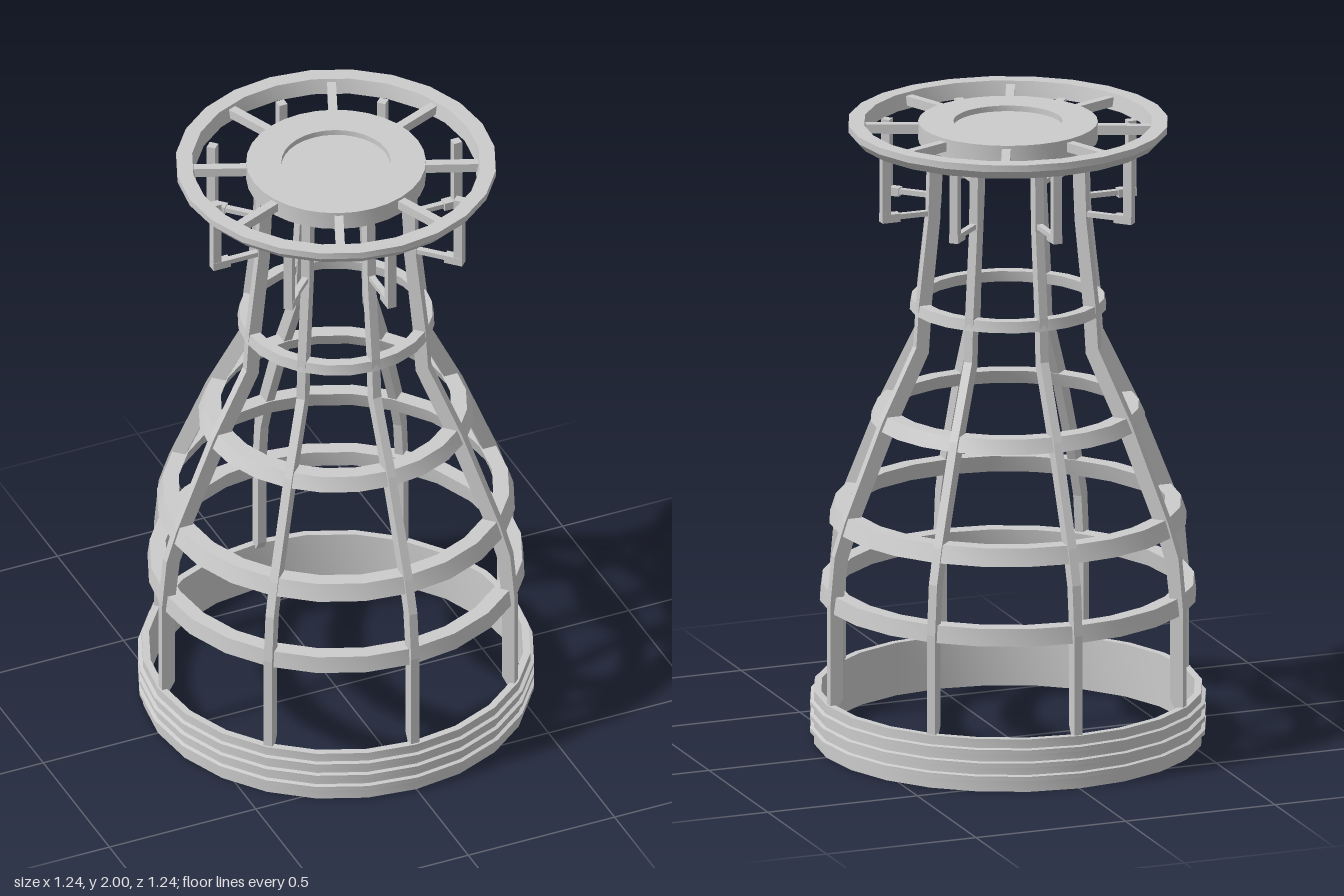
import * as THREE from 'three';
import { toCreasedNormals } from 'three/addons/utils/BufferGeometryUtils.js';

const material = new THREE.MeshStandardMaterial({ color: 0xcccccc });

// Solid of revolution; the profile runs up the outside and down the inside
function turned(name, profile, sides = 24) {
  const points = profile.map(([r, y]) => new THREE.Vector2(r, y));
  const geometry = toCreasedNormals(new THREE.LatheGeometry(points, sides), 0.5);
  const mesh = new THREE.Mesh(geometry, material);
  mesh.name = name;
  return mesh;
}

// Ring with a closed profile
const ring = (name, profile, sides) => turned(name, [...profile, profile[0]], sides);

// Box reaching from radius r0 to r1 and from height y0 to y1
function radialBox(name, r0, r1, y0, y1, width) {
  const mesh = new THREE.Mesh(new THREE.BoxGeometry(r1 - r0, y1 - y0, width), material);
  mesh.position.set((r0 + r1) / 2, (y0 + y1) / 2, 0);
  mesh.name = name;
  return mesh;
}

// Curved upright, extruded from its side outline
function ribGeometry() {
  const outer = [[0.6, 0.16], [0.6, 0.49], [0.585, 0.65], [0.55, 0.76], [0.425, 1.07],
    [0.312, 1.3], [0.303, 1.44], [0.272, 1.71], [0.265, 1.95]];
  const inner = [[0.222, 1.95], [0.232, 1.71], [0.26, 1.44], [0.27, 1.28],
    [0.375, 1.06], [0.5, 0.76], [0.54, 0.64], [0.557, 0.49], [0.557, 0.19], [0.575, 0.16]];
  const shape = new THREE.Shape([...outer, ...inner].map(([x, y]) => new THREE.Vector2(x, y)));
  const geometry = new THREE.ExtrudeGeometry(shape, { depth: 0.028, bevelEnabled: false });
  return geometry.translate(0, 0, -0.014);
}

export function createModel() {
  const model = new THREE.Group();
  model.name = 'ribbedFrame';

  // Base collar with three raised threads
  const collar = [[0.585, 0], [0.608, 0]];
  for (const y of [0.045, 0.088, 0.131]) {
    collar.push([0.608, y - 0.01], [0.62, y - 0.007], [0.62, y + 0.007], [0.608, y + 0.01]);
  }
  collar.push([0.608, 0.17], [0.585, 0.17]);
  model.add(ring('baseCollar', collar));

  // Hoops: bottom y, top y, outer radius at bottom and top, thickness
  const hoops = [
    [0.465, 0.52, 0.59, 0.583, 0.05],
    [0.715, 0.77, 0.56, 0.542, 0.05],
    [1.04, 1.085, 0.43, 0.41, 0.05],
    [1.4, 1.435, 0.308, 0.302, 0.035],
  ];
  for (const [y0, y1, r0, r1, t] of hoops) {
    model.add(ring('hoop', [[r0 - t, y0], [r0, y0], [r1, y1], [r1 - t, y1]]));
  }

  // Top rim with a sloped underside
  model.add(ring('topRim', [[0.44, 1.95], [0.475, 1.95], [0.5, 1.978], [0.5, 2], [0.45, 2]]));

  // Hub disc, recessed on both faces, with a stepped cone beneath
  model.add(turned('hub', [
    [0, 1.86], [0.018, 1.865], [0.07, 1.91], [0.13, 1.915], [0.13, 1.93], [0.17, 1.96],
    [0.22, 1.96], [0.22, 1.94], [0.28, 1.94], [0.28, 2], [0.17, 2], [0.17, 1.982], [0, 1.982],
  ], 32));

  // Eight ribs with hooked brackets, and spokes half way between them
  const rib = ribGeometry();
  for (let i = 0; i < 8; i++) {
    const sector = new THREE.Group();
    sector.name = 'ribSector';
    sector.rotation.y = (i * Math.PI) / 4;
    const upright = new THREE.Mesh(rib, material);
    upright.name = 'rib';
    sector.add(
      upright,
      radialBox('bracketArm', 0.25, 0.38, 1.722, 1.738, 0.02),
      radialBox('bracketFoot', 0.365, 0.425, 1.715, 1.742, 0.03),
      radialBox('bracketPost', 0.397, 0.425, 1.73, 1.96, 0.028),
    );
    const spoke = new THREE.Group();
    spoke.name = 'spokeSector';
    spoke.rotation.y = ((i + 0.5) * Math.PI) / 4;
    spoke.add(radialBox('spoke', 0.27, 0.455, 1.96, 1.99, 0.028));
    model.add(sector, spoke);
  }
  return model;
}
